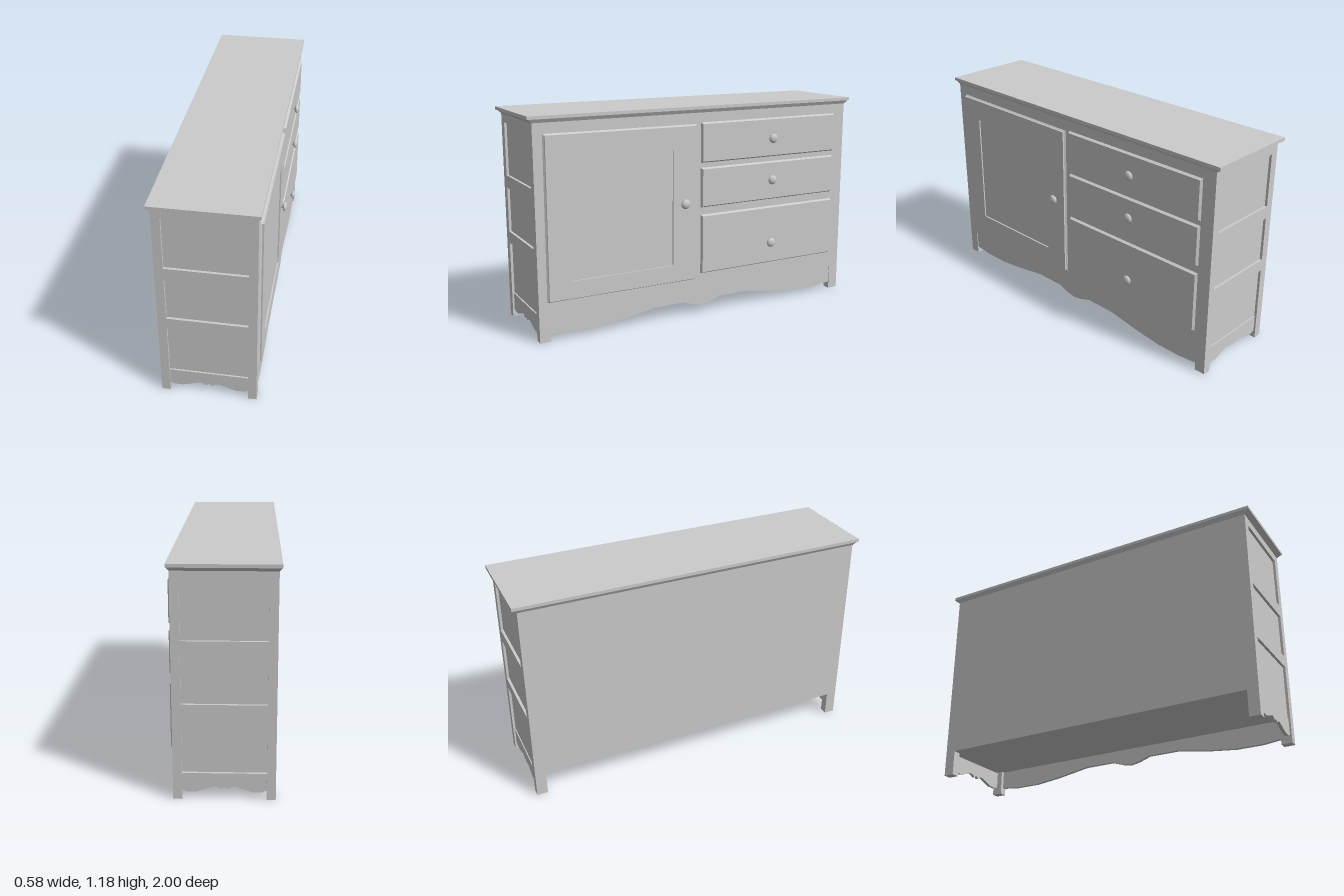
import * as THREE from 'three';

const material = new THREE.MeshStandardMaterial({ color: 0xcccccc });

// Main planes of the carcass; the drawers face +x
const BACK = -0.26, FACE = 0.242, END = 0.967, FLOOR = 0.14, CEIL = 1.145;

function add(parent, name, geometry) {
  const mesh = new THREE.Mesh(geometry, material);
  mesh.name = name;
  parent.add(mesh);
  return mesh;
}

// Box given by its limits on each axis
function box(parent, name, x0, x1, y0, y1, z0, z1) {
  const mesh = add(parent, name, new THREE.BoxGeometry(x1 - x0, y1 - y0, z1 - z0));
  mesh.position.set((x0 + x1) / 2, (y0 + y1) / 2, (z0 + z1) / 2);
  return mesh;
}

// Plate lying against the front whose outer face is bevelled inwards
function bevelledPlate(parent, name, y0, y1, z0, z1, depth, bevel) {
  const g = new THREE.BoxGeometry(depth, y1 - y0, z1 - z0);
  const p = g.attributes.position;
  for (let i = 0; i < p.count; i++) {
    if (p.getX(i) < 0) continue;
    p.setY(i, p.getY(i) - Math.sign(p.getY(i)) * bevel);
    p.setZ(i, p.getZ(i) - Math.sign(p.getZ(i)) * bevel);
  }
  g.computeVertexNormals();
  const mesh = add(parent, name, g);
  mesh.position.set(FACE + depth / 2, (y0 + y1) / 2, (z0 + z1) / 2);
  return mesh;
}

function rect(x0, x1, y0, y1, Type = THREE.Shape) {
  return new Type([[x0, y0], [x1, y0], [x1, y1], [x0, y1]].map(([x, y]) => new THREE.Vector2(x, y)));
}

function extrude(shape, depth) {
  return new THREE.ExtrudeGeometry(shape, { depth, bevelEnabled: false });
}

// Board with a straight top and a wavy lower edge
function apronShape(points, top) {
  const edge = points.map(([x, y]) => new THREE.Vector2(x, y));
  return new THREE.Shape([...edge,
    new THREE.Vector2(points[points.length - 1][0], top), new THREE.Vector2(points[0][0], top)]);
}

// Turned knob pointing along +x
function knob(parent, x, y, z) {
  const profile = [[0.011, 0], [0.011, 0.008], [0.022, 0.010], [0.027, 0.014], [0.026, 0.019],
    [0.021, 0.025], [0.012, 0.029], [0, 0.030]].map(([r, h]) => new THREE.Vector2(r, h));
  const mesh = add(parent, 'knob', new THREE.LatheGeometry(profile, 20));
  mesh.rotation.z = -Math.PI / 2;
  mesh.position.set(x, y, z);
}

export function createModel() {
  const model = new THREE.Group();
  model.name = 'sideboard';
  const cabinet = new THREE.Group();
  cabinet.name = 'cabinet';
  cabinet.rotation.y = 0.0155; // stands very slightly turned
  model.add(cabinet);

  // Carcass and legs
  const skin = 0.014;
  box(cabinet, 'carcass', BACK, FACE, FLOOR, CEIL, -END + skin, END - skin);
  const inBack = -0.215, inFront = 0.198;
  for (const s of [-1, 1]) {
    const z0 = s > 0 ? END - 0.06 : -END, z1 = z0 + 0.06;
    box(cabinet, 'backLeg', BACK, inBack, 0, FLOOR, z0, z1);
    box(cabinet, 'frontLeg', inFront, FACE, 0, FLOOR, z0, z1);
  }

  // End frames with three sunk panels, the lowest opening running to the bottom
  const frame = new THREE.Shape([[BACK, FLOOR], [inBack, FLOOR], [inBack, 0.43], [inFront, 0.43],
    [inFront, FLOOR], [FACE, FLOOR], [FACE, CEIL], [BACK, CEIL]].map(([x, y]) => new THREE.Vector2(x, y)));
  for (const [y0, y1] of [[0.495, 0.74], [0.81, 1.098]]) {
    frame.holes.push(rect(inBack, inFront, y0, y1, THREE.Path));
  }
  // Scalloped end aprons, hung just under the carcass
  const half = [[-0.207, 0.045], [-0.185, 0.035], [-0.14, 0.035], [-0.105, 0.046],
    [-0.055, 0.065], [-0.035, 0.063], [-0.018, 0.05]];
  const mid = (inBack + inFront) / 2;
  const endEdge = [...half, [0, 0.062], ...half.map(([x, y]) => [-x, y]).reverse()]
    .map(([x, y]) => [x + mid, y]);
  for (const s of [-1, 1]) {
    add(cabinet, 'endFrame', extrude(frame, skin)).position.z = s > 0 ? END - skin : -END;
    add(cabinet, 'endApron', extrude(apronShape(endEdge, 0.135), 0.018)).position.z =
      s > 0 ? END - 0.028 : -END + 0.01;
  }

  // Wavy front apron
  const wave = [[-0.907, 0.04], [-0.8, 0.028], [-0.65, 0.028], [-0.5, 0.045], [-0.3, 0.078],
    [-0.12, 0.078], [-0.05, 0.054]];
  const frontEdge = [...wave, [0, 0.045], ...wave.map(([x, y]) => [-x, y]).reverse()];
  const apron = add(cabinet, 'frontApron', extrude(apronShape(frontEdge, FLOOR), 0.02));
  apron.rotation.y = Math.PI / 2;
  apron.position.x = FACE - 0.024;

  // Table top with a sloped moulding beneath
  const x0 = -0.275, x1 = 0.256, zTop = 0.995;
  box(cabinet, 'top', x0, x1, 1.163, 1.18, -zTop, zTop);
  const moulding = new THREE.BoxGeometry(x1 - x0 - 0.006, 0.02, 2 * zTop - 0.012);
  const p = moulding.attributes.position;
  for (let i = 0; i < p.count; i++) {
    if (p.getY(i) > 0) continue;
    p.setX(i, Math.sign(p.getX(i)) * (FACE - BACK) / 2);
    p.setZ(i, Math.sign(p.getZ(i)) * END);
  }
  moulding.computeVertexNormals();
  add(cabinet, 'topMoulding', moulding).position.set((x0 + x1) / 2, 1.153, 0);

  // Drawers
  for (const [y0, y1, ky] of [[0.867, 1.09, 0.975], [0.617, 0.84, 0.735], [0.235, 0.575, 0.362]]) {
    bevelledPlate(cabinet, 'drawerFront', y0, y1, -0.891, 0.014, 0.014, 0.008);
    knob(cabinet, FACE + 0.014, ky, -0.445);
  }

  // Door: bevelled plate carrying a raised frame around a sunk panel
  const door = new THREE.Group();
  door.name = 'door';
  const cy = 0.648, cz = 0.481;
  door.position.set(0, cy, cz);
  door.rotation.x = -0.006;
  cabinet.add(door);
  bevelledPlate(door, 'doorPanel', -0.438, 0.438, -0.437, 0.437, 0.008, 0.008);
  const doorFrame = rect(-0.429, 0.429, -0.43, 0.43);
  doorFrame.holes.push(rect(-0.302, 0.288, -0.336, 0.31, THREE.Path));
  const stiles = add(door, 'doorFrame', extrude(doorFrame, 0.008));
  stiles.rotation.y = Math.PI / 2;
  stiles.position.x = FACE + 0.008;
  knob(door, FACE + 0.016, 0.656 - cy, 0.124 - cz);

  return model;
}
